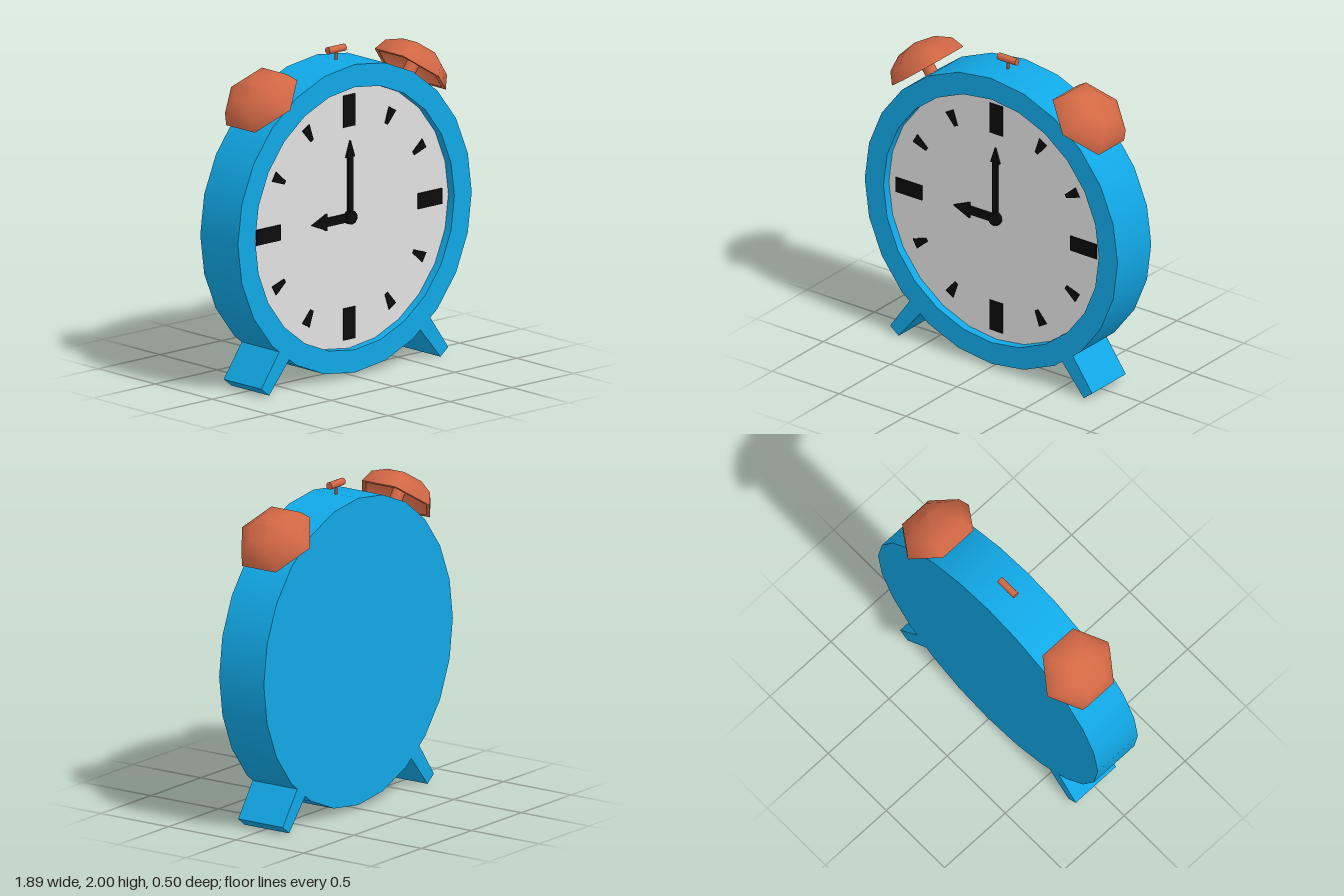
import * as THREE from 'three';

const CENTRE_Y = 0.97, R = 0.945, HALF = 0.165, DIAL_R = 0.805, DIAL_Z = 0.112;

export function createModel() {
  const paint = (name, color) => {
    const m = new THREE.MeshStandardMaterial({ color });
    m.name = name;
    return m;
  };
  const blue = paint('blue case', 0x11a8e6);
  const copper = paint('copper', 0xd26845);
  const pale = paint('pale dial', 0xe0e0e0);
  const black = paint('black', 0x0b0b0b);

  const model = new THREE.Group();
  model.name = 'alarmClock';
  // Everything is laid out around the middle of the dial
  const clock = new THREE.Group();
  clock.name = 'clock';
  clock.position.y = CENTRE_Y;
  model.add(clock);

  const add = (parent, name, geometry, material) => {
    const mesh = new THREE.Mesh(geometry, material);
    mesh.name = name;
    parent.add(mesh);
    return mesh;
  };
  // Surface of revolution about y; separate calls keep sharp edges between them
  const lathe = (points, sides) => {
    const g = new THREE.LatheGeometry(points.map(([x, y]) => new THREE.Vector2(x, y)), sides);
    g.normalizeNormals();
    return g;
  };
  // Flat outline given a thickness, starting at depth z
  const plate = (points, z, depth) => {
    const shape = new THREE.Shape(points.map(([x, y]) => new THREE.Vector2(x, y)));
    return new THREE.ExtrudeGeometry(shape, { depth, bevelEnabled: false }).translate(0, 0, z);
  };

  // Case: back, side, front rim and the wall of the recess
  const section = [[0, -HALF], [R, -HALF], [R, HALF], [DIAL_R, HALF], [DIAL_R, DIAL_Z], [0, DIAL_Z]];
  const names = ['caseBack', 'caseSide', 'frontRim', 'recessWall', 'dial'];
  names.forEach((name, i) => {
    const g = lathe([section[i], section[i + 1]], 24).rotateX(Math.PI / 2);
    add(clock, name, g, name === 'dial' ? pale : blue);
  });

  // Hour marks: bars on the quarters, wedges between
  for (let h = 0; h < 12; h++) {
    const quarter = h % 3 === 0;
    const outline = quarter
      ? [[-0.048, 0.555], [0.048, 0.555], [0.048, 0.75], [-0.048, 0.75]]
      : [[-0.012, 0.6], [0.012, 0.6], [0.032, 0.7], [-0.032, 0.7]];
    const mark = add(clock, quarter ? 'quarterMark' : 'hourMark', plate(outline, DIAL_Z, 0.007), black);
    mark.rotation.z = -h * Math.PI / 6;
  }

  // Arrow-shaped hands and their hub
  const hand = (name, length, head, width, headWidth, angle) => {
    const neck = length - head;
    const outline = [[-width, 0], [width, 0], [width, neck], [headWidth, neck],
      [0, length], [-headWidth, neck], [-width, neck]];
    add(clock, name, plate(outline, DIAL_Z + 0.005, 0.015), black).rotation.z = angle;
  };
  hand('minuteHand', 0.47, 0.1, 0.018, 0.034, 0);
  hand('hourHand', 0.31, 0.12, 0.026, 0.052, Math.PI / 2);
  const hub = add(clock, 'hub', new THREE.CylinderGeometry(0.043, 0.043, 0.03, 10), black);
  hub.rotation.x = Math.PI / 2;
  hub.position.z = DIAL_Z + 0.015;

  // Hollow six-sided domes on short posts, and the splayed legs
  const dome = (r, h) => [0, 1, 2, 3].map(i => {
    const a = i * Math.PI / 6;
    return [i === 3 ? 0 : r * Math.cos(a), h * Math.sin(a)];
  });
  for (const side of [1, -1]) {
    const label = side > 0 ? 'left' : 'right';
    const bell = new THREE.Group();
    bell.name = label + 'Bell';
    bell.rotation.z = -side * 0.654;
    clock.add(bell);
    const parts = {
      bellOutside: dome(0.25, 0.16),
      bellInside: dome(0.22, 0.135).reverse(),
      bellLip: [[0.22, 0], [0.25, 0]],
    };
    for (const [name, points] of Object.entries(parts)) {
      add(bell, name, lathe(points, 6), copper).position.y = 0.986;
    }
    add(bell, 'bellPost', new THREE.CylinderGeometry(0.04, 0.04, 0.19, 8), copper).position.y = 1.025;

    const leg = [[0.755, 0.052], [0.692, 0.003], [0.53, 0.196], [0.61, 0.257]];
    add(model, label + 'Leg', plate(leg.map(([x, y]) => [side * x, y]), -HALF, 2 * HALF), blue);
  }

  // Hammer on top: thin stem with a crossbar
  add(clock, 'hammerStem', new THREE.CylinderGeometry(0.008, 0.008, 0.08, 8), copper).position.y = 0.965;
  const bar = add(clock, 'hammerBar', new THREE.CylinderGeometry(0.022, 0.022, 0.136, 12), copper);
  bar.rotation.z = Math.PI / 2;
  bar.position.y = 1.008;

  return model;
}
